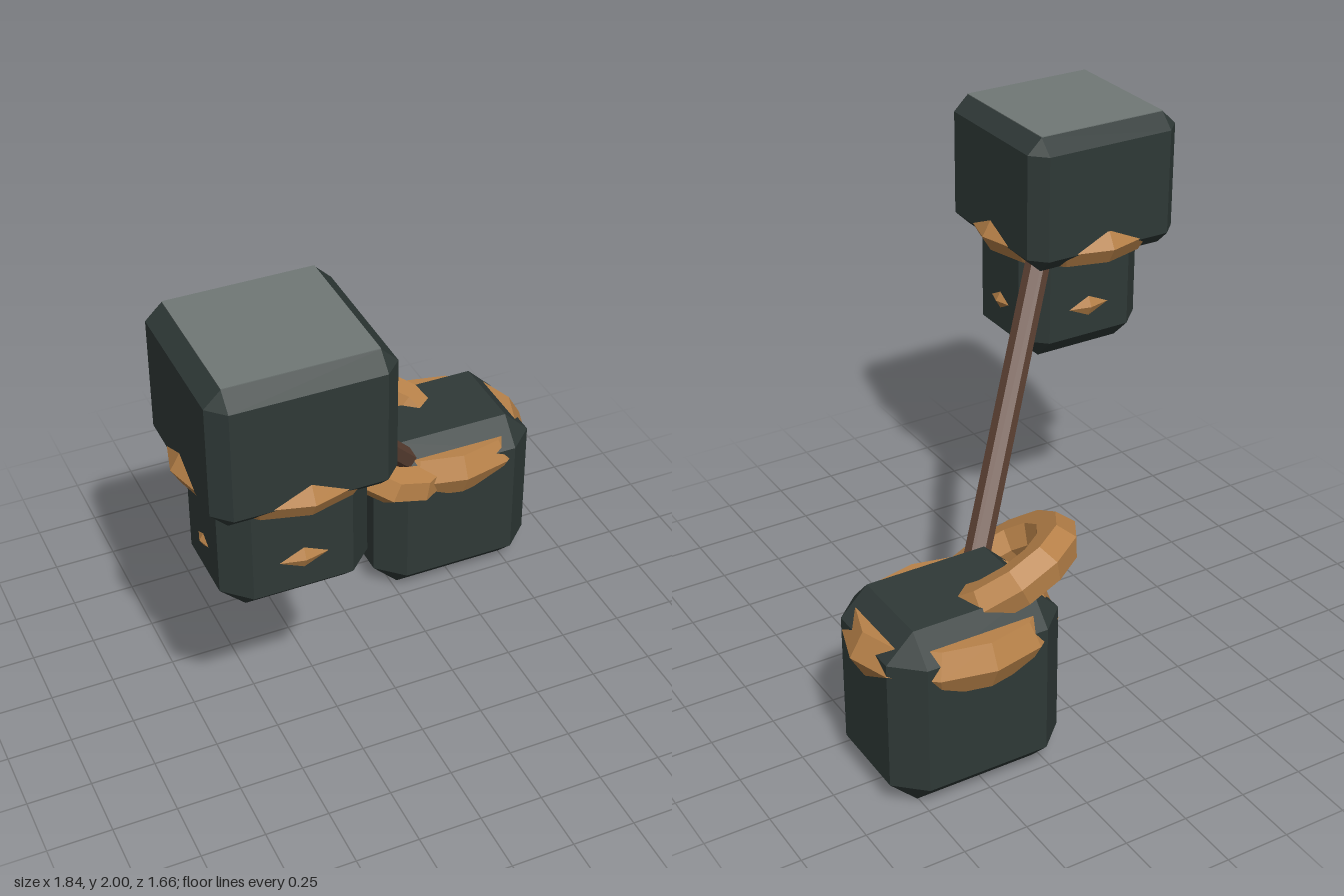
import * as THREE from 'three';
import { ConvexGeometry } from 'three/addons/geometries/ConvexGeometry.js';

const mat = (name, color) => {
  const m = new THREE.MeshStandardMaterial({ color, flatShading: true });
  m.name = name;
  return m;
};

// Box with all edges and corners cut, given by its min and max corners
function chamferBox(min, max, cut) {
  const c = min.map((v, i) => (v + max[i]) / 2);
  const h = min.map((v, i) => (max[i] - v) / 2);
  const pts = [];
  for (const sx of [-1, 1]) for (const sy of [-1, 1]) for (const sz of [-1, 1]) {
    const s = [sx, sy, sz];
    // one point on each of the three faces meeting at this corner
    for (let face = 0; face < 3; face++) {
      const p = s.map((sg, i) => c[i] + sg * (i === face ? h[i] : h[i] - cut[i]));
      pts.push(new THREE.Vector3(...p));
    }
  }
  return new ConvexGeometry(pts);
}

// Faceted ring lying flat, with its outer half-widths in x and z
function band(outerX, outerZ, tube, pos) {
  const g = new THREE.TorusGeometry(outerX - tube, tube, 6, 12);
  g.rotateX(Math.PI / 2);
  g.scale(1, 1, outerZ / outerX);
  g.translate(...pos);
  return g;
}

export function createModel() {
  const group = new THREE.Group();
  const iron = mat('dark iron', 0x2f3937);
  const steel = mat('worn steel', 0x707876);
  const brass = mat('brass', 0xb88249);
  const wood = mat('brown wood', 0x5f4335);

  const add = (name, geometry, material) => {
    const mesh = new THREE.Mesh(geometry, material);
    mesh.name = name;
    group.add(mesh);
    return mesh;
  };

  // Upper block, its neck and the pale striking face
  add('upperBlock', chamferBox([-0.885, 1.465, 0.14], [-0.23, 1.997, 0.795], [0.06, 0.058, 0.06]), iron);
  add('upperNeck', chamferBox([-0.83, 1.02, 0.27], [-0.29, 1.65, 0.715], [0.09, 0.085, 0.087]), iron);
  const plate = new THREE.BoxGeometry(0.535, 0.006, 0.535);
  plate.translate(-0.5575, 1.997, 0.4675);
  add('strikingFace', plate, steel);

  // Lower block
  add('lowerBlock', chamferBox([0.17, 0, -0.77], [0.86, 0.72, -0.235], [0.106, 0.104, 0.1]), iron);

  // Bands around the blocks
  add('upperBand', band(0.3625, 0.3645, 0.073, [-0.5575, 1.527, 0.466]), brass);
  add('neckBand', band(0.2875, 0.2425, 0.05, [-0.5575, 1.227, 0.4925]), brass);
  add('lowerBand', band(0.4, 0.3275, 0.105, [0.515, 0.57, -0.507]), brass);

  // Tilted loop through the corner of the lower block
  const loop = add('tiltedLoop', new THREE.TorusGeometry(0.2345, 0.082, 6, 12), brass);
  loop.position.set(0.27, 0.68, -0.45);
  loop.quaternion.setFromUnitVectors(
    new THREE.Vector3(0, 0, 1),
    new THREE.Vector3(0.346, 0.838, 0.423).normalize()
  );

  // Slanted shaft joining the two blocks
  const a = new THREE.Vector3(-0.557, 1.775, 0.49);
  const b = new THREE.Vector3(0.515, 0.366, -0.515);
  const shaft = add('shaft', new THREE.CylinderGeometry(0.048, 0.048, a.distanceTo(b), 6), wood);
  shaft.position.copy(a).add(b).multiplyScalar(0.5);
  shaft.quaternion.setFromUnitVectors(new THREE.Vector3(0, 1, 0), a.clone().sub(b).normalize());

  return group;
}
